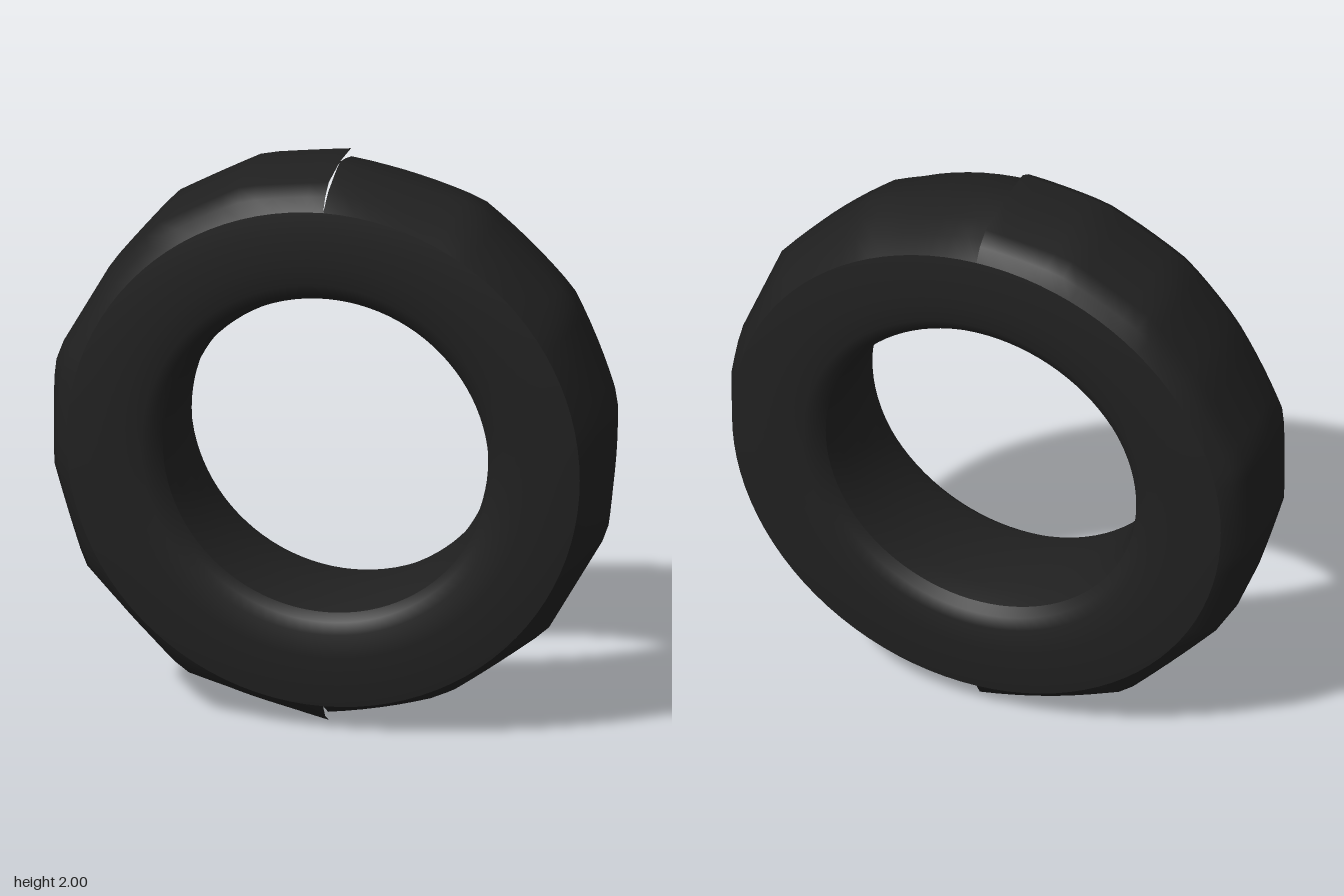
import * as THREE from 'three';

// Coarse outline of the tread crown (x, y), clockwise from the top
const OUTLINE = [
  [0, 2], [0.49, 1.88], [0.82, 1.56], [0.98, 1.16], [0.945, 0.72], [0.73, 0.34], [0.41, 0.1],
  [0, 0], [-0.52, 0.14], [-0.87, 0.51], [-0.98, 0.88], [-0.98, 1.25], [-0.8, 1.57], [-0.62, 1.79], [-0.31, 1.96],
].map(([x, y]) => [x, y - 1]);

const SEGMENTS = 96;
const EDGE = 0.905; // radius where tread meets sidewall
const CROWN = 0.985;

// Distance from the centre to the outline in the direction (dx, dy)
function outlineRadius(dx, dy) {
  let best = 1;
  OUTLINE.forEach(([ax, ay], i) => {
    const [bx, by] = OUTLINE[(i + 1) % OUTLINE.length];
    const ex = bx - ax, ey = by - ay;
    const det = dx * ey - dy * ex;
    if (Math.abs(det) < 1e-9) return;
    const dist = (ax * ey - ay * ex) / det;
    const along = (ax * dy - ay * dx) / det;
    if (dist > 0 && along >= -1e-6 && along <= 1 + 1e-6) best = dist;
  });
  return best;
}

// Mirrors half a profile, listed from the back edge to the centre plane
const mirrored = (half) => [...half, ...half.slice(0, -1).reverse().map(([r, z]) => [r, -z])];

export function createModel() {
  const group = new THREE.Group();
  group.name = 'tire';
  const rubber = new THREE.MeshStandardMaterial({ color: 0x202020 });
  rubber.name = 'black rubber';

  // Revolves a [radius, z] profile around the wheel axis
  function ring(name, profile, segments = SEGMENTS, start = 0, sweep = Math.PI * 2) {
    const points = profile.map(([r, z]) => new THREE.Vector2(r, z));
    const geo = new THREE.LatheGeometry(points, segments, start, sweep);
    geo.rotateX(Math.PI / 2);
    const mesh = new THREE.Mesh(geo, rubber);
    mesh.name = name;
    mesh.position.y = 1;
    group.add(mesh);
    return geo;
  }

  // Half of the tread, its crown pulled onto the coarse outline, edges stay round
  function treadHalf(name, half, start) {
    const geo = ring(name, mirrored(half), SEGMENTS / 2, start, Math.PI);
    const p = geo.attributes.position;
    for (let i = 0; i < p.count; i++) {
      const x = p.getX(i), y = p.getY(i), r = Math.hypot(x, y);
      const weight = (r - EDGE) / (CROWN - EDGE);
      const k = (EDGE + weight * (outlineRadius(x / r, y / r) - EDGE)) / r;
      p.setXY(i, x * k, y * k);
    }
    geo.computeVertexNormals();
  }
  // The left half is peaked, the right half is flatter
  treadHalf('leftTread', [[EDGE, -0.257], [0.946, -0.18], [0.968, -0.09], [CROWN, 0]], 0);
  treadHalf('rightTread', [[EDGE, -0.257], [0.945, -0.225], [0.974, -0.17], [CROWN, 0]], Math.PI);

  // Sidewalls, mirrored front and back
  const wall = [[EDGE, 0.257], [0.83, 0.268], [0.72, 0.273], [0.64, 0.266], [0.6, 0.248], [0.575, 0.215]];
  ring('frontSidewall', wall);
  ring('backSidewall', wall.map(([r, z]) => [r, -z]).reverse());

  // Inner wall of the opening
  ring('innerWall', mirrored([[0.575, 0.215], [0.555, 0.14], [0.546, 0]]));

  return group;
}
